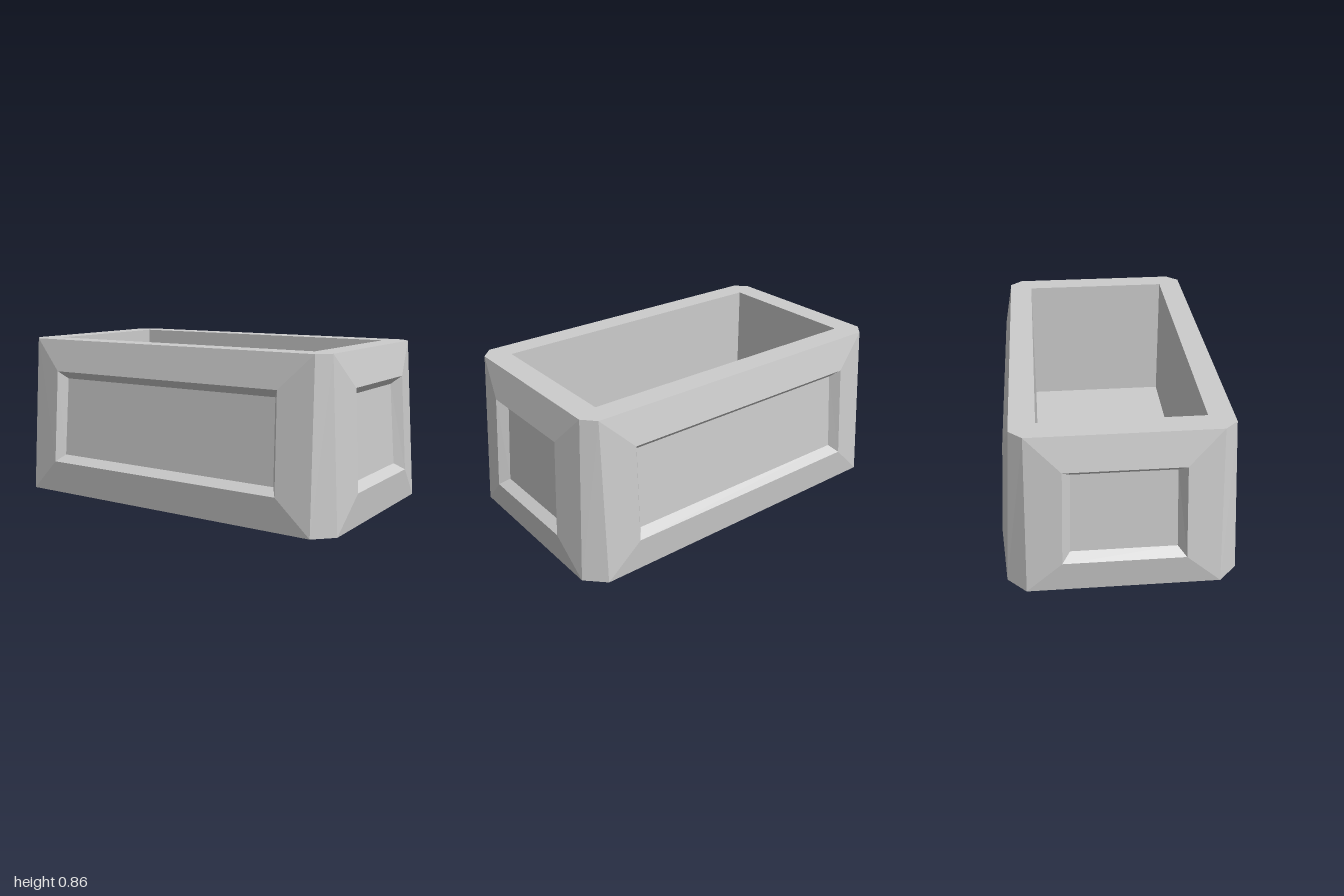
import * as THREE from 'three';

const H = 0.855;
const material = new THREE.MeshStandardMaterial({ color: 0xcccccc, flatShading: true });

// Flat-sided strips joining successive rings of points (rings counter-clockwise from outside)
function ringsGeometry(rings, cap) {
  const pos = [];
  const quad = (a, b, c, d) => pos.push(...a, ...b, ...c, ...a, ...c, ...d);
  for (let r = 0; r + 1 < rings.length; r++) {
    const A = rings[r], B = rings[r + 1];
    for (let i = 0; i < A.length; i++) {
      const j = (i + 1) % A.length;
      quad(A[i], A[j], B[j], B[i]);
    }
  }
  if (cap) quad(...rings[rings.length - 1]);
  const g = new THREE.BufferGeometry();
  g.setAttribute('position', new THREE.Float32BufferAttribute(pos, 3));
  g.computeVertexNormals();
  return g;
}

// Four corners of an upright trapezoid: [half width, y, depth] for bottom and top
const trapezoid = ([wb, yb, db], [wt, yt, dt]) =>
  [[-wb, yb, db], [wb, yb, db], [wt, yt, dt], [-wt, yt, dt]];

// Rectangle outline with chamfered corners: long sides reach z, short sides reach x
function chamferedOutline(x, z, cx, cz) {
  return [[cx, z], [x, cz], [x, -cz], [cx, -z], [-cx, -z], [-x, -cz], [-x, cz], [-cx, z]]
    .map(([a, b]) => new THREE.Vector2(a, b));
}

export function createModel() {
  const group = new THREE.Group();
  const add = (name, geometry) => {
    const mesh = new THREE.Mesh(geometry, material);
    mesh.name = name;
    group.add(mesh);
    return mesh;
  };

  // Walls: bulging frame, bevelled recess and sunken panel
  const longWall = ringsGeometry([
    trapezoid([0.885, 0, 0.575], [0.87, H, 0.525]),
    trapezoid([0.705, 0.177, 0.592], [0.695, 0.682, 0.562]),
    trapezoid([0.67, 0.212, 0.542], [0.66, 0.64, 0.514]),
  ], true);
  const endWall = ringsGeometry([
    trapezoid([0.48, 0, 0.98], [0.46, H, 0.93]),
    trapezoid([0.302, 0.177, 1.0], [0.29, 0.682, 0.97]),
    trapezoid([0.262, 0.212, 0.95], [0.252, 0.64, 0.922]),
  ], true);
  add('frontWall', longWall);
  add('backWall', longWall).rotation.y = Math.PI;
  add('leftWall', endWall).rotation.y = Math.PI / 2;
  add('rightWall', endWall).rotation.y = -Math.PI / 2;

  // Chamfered corner strips
  for (const sx of [1, -1]) for (const sz of [1, -1]) {
    const p = [[0.885, 0, 0.575], [0.98, 0, 0.48], [0.93, H, 0.46], [0.87, H, 0.525]]
      .map(([x, y, z]) => [x * sx, y, z * sz]);
    if (sx * sz < 0) p.reverse();
    add('cornerChamfer', ringsGeometry([p], true));
  }

  // Rim around the opening
  const rim = new THREE.Shape(chamferedOutline(0.93, 0.525, 0.87, 0.46));
  const ix = 0.805, iz = 0.4, floorY = 0.12;
  const inner = [[-ix, -iz], [-ix, iz], [ix, iz], [ix, -iz]];
  rim.holes.push(new THREE.Path(inner.map(([x, z]) => new THREE.Vector2(x, z))));
  add('rim', new THREE.ShapeGeometry(rim).rotateX(-Math.PI / 2).translate(0, H, 0));

  // Hollow inside: straight walls and floor
  const level = y => inner.map(([x, z]) => [x, y, z]);
  add('cavity', ringsGeometry([level(H), level(floorY)], true));

  // Underside
  const base = new THREE.Shape(chamferedOutline(0.98, 0.575, 0.885, 0.48));
  add('base', new THREE.ShapeGeometry(base).rotateX(Math.PI / 2));

  return group;
}
